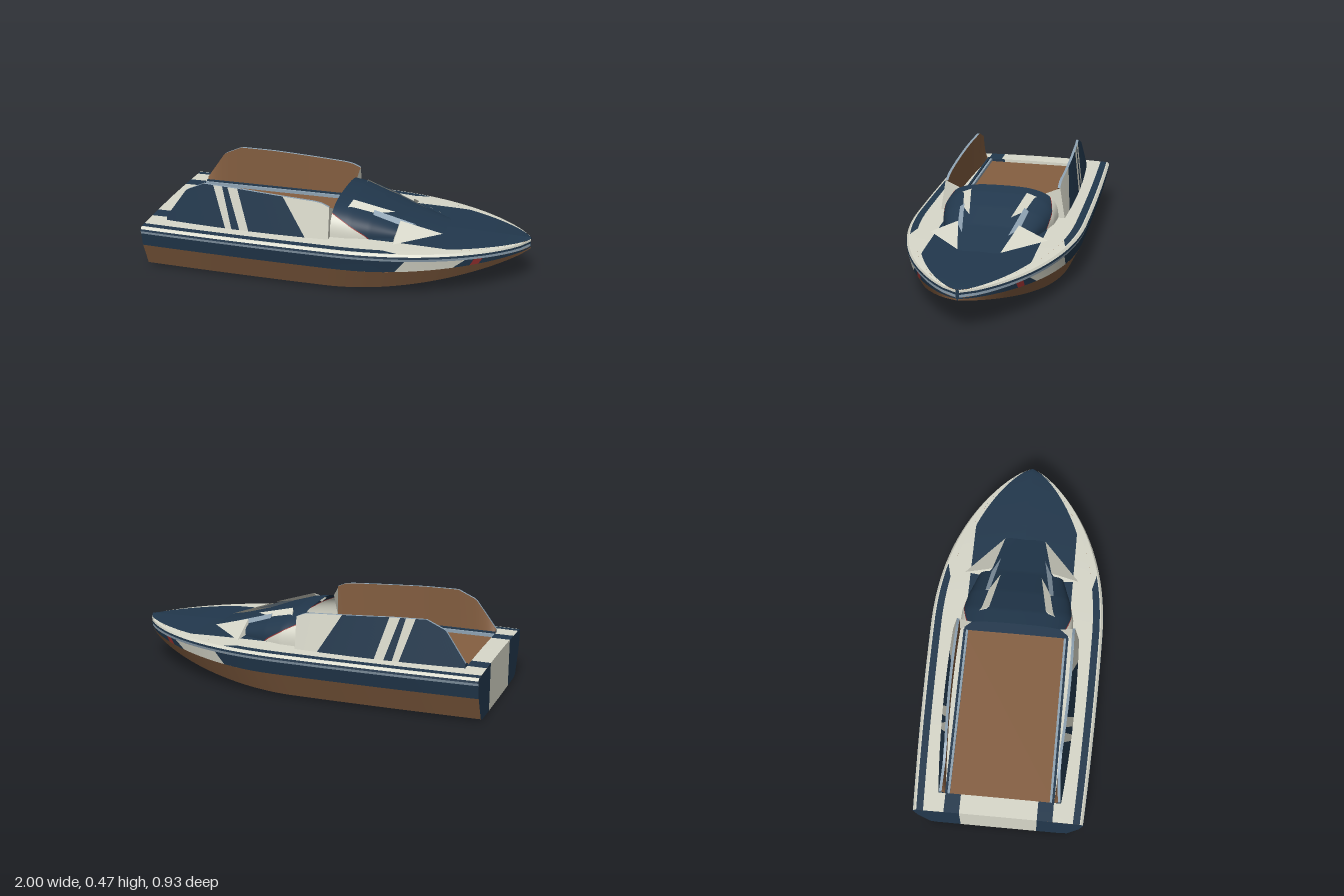
import * as THREE from 'three';

const mat = (name, color) => {
  const m = new THREE.MeshStandardMaterial({ color, side: THREE.DoubleSide });
  m.name = name;
  return m;
};
const lerp = THREE.MathUtils.lerp;
const clamp01 = (v) => Math.min(1, Math.max(0, v));

// Piecewise-linear profile through [x, y] points
const profile = (pts) => (x) => {
  let i = 0;
  while (i < pts.length - 2 && x > pts[i + 1][0]) i++;
  const [a, b] = [pts[i], pts[i + 1]];
  return lerp(a[1], b[1], clamp01((x - a[0]) / (b[0] - a[0])));
};

export function createModel() {
  const boat = new THREE.Group();
  boat.name = 'speedboat';
  const navy = mat('navy', 0x22384d);
  const cream = mat('cream', 0xd8d8ca);
  const brown = mat('brown', 0x855f41);
  const steel = mat('steelBlue', 0x8fa3b3);
  const red = mat('red', 0x98302f);

  const addMesh = (name, material, pos, index) => {
    const g = new THREE.BufferGeometry();
    g.setAttribute('position', new THREE.Float32BufferAttribute(pos, 3));
    g.setIndex(index);
    g.computeVertexNormals();
    const mesh = new THREE.Mesh(g, material);
    mesh.name = name;
    boat.add(mesh);
  };

  // Surface through rows, each x -> [z, y]; lo and hi are the [first row, last row] ends in x
  const loft = (name, material, rows, lo, hi, n = 48) => {
    for (const side of [1, -1]) {
      const pos = [], index = [];
      rows.forEach((row, r) => {
        const v = r / (rows.length - 1);
        const x0 = lerp(lo[0], lo[1], v), x1 = lerp(hi[0], hi[1], v);
        for (let i = 0; i <= n; i++) {
          const x = lerp(x0, x1, i / n);
          const [z, y] = row(x);
          pos.push(x, y, z * side);
          if (r && i) {
            const d = r * (n + 1) + i, c = d - 1, b = d - n - 1, a = b - 1;
            if (side > 0) index.push(a, b, d, a, d, c);
            else index.push(a, d, b, a, c, d);
          }
        }
      });
      addMesh(name + (side > 0 ? 'Front' : 'Back'), material, pos, index);
    }
  };

  // Flat convex plate, mirrored in z
  const plate = (name, material, pts) => {
    for (const side of [1, -1]) {
      const index = [];
      for (let i = 1; i < pts.length - 1; i++) index.push(0, i, i + 1);
      if (side < 0) index.reverse();
      addMesh(name + (side > 0 ? 'Front' : 'Back'), material,
        pts.flatMap(([x, y, z]) => [x, y, z * side]), index);
    }
  };

  // Hull lines
  const beam = (x) => x < 0 ? 0.465 - 0.025 * x * x
    : 0.465 * Math.pow(Math.max(0, 1 - Math.pow(x, 2.2)), 0.75) + 0.008 * x;
  const keel = (x) => 0.18 * Math.pow(Math.max(0, x), 1.7);
  const paintLine = (x) => 0.14 + 0.05 * Math.pow(clamp01((x - 0.2) / 0.8), 1.4);
  const sheer = (x) => 0.248 - 0.016 * Math.pow(clamp01(x), 2);
  const chineY = (x) => lerp(keel(x), paintLine(x), 0.1);
  const bottom = (x) => [0, keel(x)];
  const flat = (x) => [0.75 * beam(x), keel(x) + 0.002];
  const chine = (x) => [0.825 * beam(x), chineY(x)];
  const water = (x) => [0.955 * beam(x), paintLine(x)];
  const topside = (x) => [0.99 * beam(x), sheer(x) - 0.036];
  const rail1 = (x) => [beam(x), sheer(x) - 0.022];
  const rail2 = (x) => [0.995 * beam(x), sheer(x) - 0.011];
  const edge = (x) => [0.97 * beam(x), sheer(x)];
  const deckAt = (f) => (x) => {
    const z = f(x);
    return [z, sheer(x) + 0.01 * (1 - Math.pow(z / beam(x), 2))];
  };
  const stripeOut = deckAt((x) => 0.955 * beam(x));
  const stripeIn = deckAt((x) => 0.875 * beam(x));
  const inner = deckAt((x) => Math.min(0.28, 0.82 * beam(x)));
  const sternMid = deckAt(() => 0.2);
  const centre = deckAt(() => 0);

  // Hull bottom and painted topsides
  loft('hullBottom', brown, [bottom, flat], [-1, -1], [1, 1]);
  loft('hullChine', brown, [flat, chine], [-1, -1], [1, 1]);
  loft('hullSide', brown, [chine, water], [-1, -1], [1, 1]);
  const bands = [[-1, -1, navy], [0.37, 0.42, cream], [0.65, 0.71, navy],
    [0.73, 0.75, red], [0.77, 0.79, navy], [1, 1]];
  for (let i = 0; i < bands.length - 1; i++) {
    loft('topside' + i, bands[i][2], [water, topside], bands[i], bands[i + 1], 24);
  }
  loft('rubRail', steel, [topside, rail1], [-1, -1], [1, 1]);
  loft('railStripe', navy, [rail1, rail2], [-1, -1], [1, 1]);
  loft('gunwale', cream, [rail2, edge], [-1, -1], [1, 1]);

  // Deck
  loft('deckEdge', cream, [edge, stripeOut], [-1, -1], [1, 1]);
  loft('deckStripe', navy, [stripeOut, stripeIn], [-1, -1], [0.38, 0.3]);
  loft('deckStripeEnd', cream, [stripeOut, stripeIn], [0.38, 0.3], [1, 1]);
  loft('sideDeck', cream, [stripeIn, inner], [-1, -1], [1, 1]);
  loft('foredeck', navy, [inner, centre], [0, 0], [1, 1]);
  loft('sternDeckCorner', navy, [inner, sternMid], [-1, -1], [-0.9, -0.9], 2);
  loft('sternDeck', cream, [sternMid, centre], [-1, -1], [-0.9, -0.9], 2);

  // Transom and stem
  const outline = [flat, chine, water, topside, rail1, rail2, edge];
  plate('transomSide', navy, [[-1, 0.001, 0.2],
    ...outline.map((f) => [-1, f(-1)[1], f(-1)[0]]), [-1, sternMid(-1)[1], 0.2]]);
  plate('transomMiddle', cream, [[-1, 0, 0], [-1, 0.001, 0.2], [-1, sternMid(-1)[1], 0.2], [-1, centre(-1)[1], 0]]);
  plate('stem', navy, [[1, 0.18, 0], ...[water, topside, edge].map((f) => [1, f(1)[1], f(1)[0]]), [1, centre(1)[1], 0]]);

  // Cockpit floor and its edge strips
  const box = (name, m, sx, sy, sz, x, y, z) => {
    const b = new THREE.Mesh(new THREE.BoxGeometry(sx, sy, sz), m);
    b.name = name;
    b.position.set(x, y, z);
    boat.add(b);
  };
  box('cockpitFloor', brown, 0.9, 0.02, 0.56, -0.45, 0.23, 0);
  for (const s of [1, -1]) {
    box('floorStrip', steel, 0.9, 0.02, 0.012, -0.45, 0.247, s * 0.264);
    box('coamingStrip', navy, 0.9, 0.03, 0.012, -0.45, 0.25, s * 0.276);
  }

  // Cockpit side walls, bowed in plan and leaning inwards
  const wallTop = profile([[-0.9, 0.275], [-0.79, 0.43], [-0.69, 0.475], [-0.5, 0.47],
    [-0.08, 0.445], [-0.04, 0.438], [0, 0.42]]);
  const wall = (inset, atTop) => (x) => {
    const y = atTop ? wallTop(x) : 0.245;
    const bow = 0.03 * Math.pow((x + 0.3) / 0.6, 2);
    return [0.348 - bow - (y - 0.245) * 0.16 - inset, y];
  };
  const panels = [[-0.9, -0.9, navy], [-0.56, -0.635, cream], [-0.525, -0.585, navy],
    [-0.48, -0.555, cream], [-0.43, -0.5, navy], [-0.12, -0.25, cream], [0, 0]];
  for (let i = 0; i < panels.length - 1; i++) {
    loft('wallPanel' + i, panels[i][2], [wall(0, false), wall(0, true)], panels[i], panels[i + 1], 40);
  }
  loft('wallInside', brown, [wall(0.04, false), wall(0.014, true)], [-0.9, -0.9], [0, 0], 60);
  loft('wallCap', steel, [wall(0, true), wall(0.014, true)], [-0.9, -0.9], [0, 0], 60);
  const end = (x, inset, top) => {
    const [z, y] = wall(inset, top)(x);
    return [x, y, z];
  };
  plate('wallRearEnd', navy, [end(-0.9, 0, false), end(-0.9, 0, true), end(-0.9, 0.014, true), end(-0.9, 0.04, false)]);
  plate('wallFrontEnd', cream, [end(0, 0, false), end(0, 0, true), [0, 0.385, 0.235], [0, 0.25, 0.3]]);

  // Domed cowl ahead of the cockpit, with cream cheeks edged in red
  const cowlTop = profile([[0, 0.414], [0.08, 0.402], [0.2, 0.365], [0.34, 0.31], [0.45, 0.28], [0.56, 0.252]]);
  const cowlHalf = profile([[0, 0.305], [0.1, 0.3], [0.2, 0.275], [0.34, 0.225], [0.56, 0.12]]);
  const cowl = (v) => (x) => {
    const a = v * Math.PI / 2;
    return [cowlHalf(x) * Math.pow(Math.max(0, Math.cos(a)), 2 / 3),
      0.245 + (cowlTop(x) - 0.245) * Math.pow(Math.sin(a), 2 / 3)];
  };
  const cheek = (x) => 0.42 * clamp01(1 - x / 0.2);
  const trim = (x) => cheek(x) + 0.02 * clamp01((0.22 - x) / 0.04);
  const cowlRows = (from, to, n) => Array.from({ length: n + 1 }, (_, i) =>
    (x) => cowl(lerp(from(x), to(x), i / n))(x));
  loft('cheek', cream, cowlRows(() => 0, cheek, 10), [0, 0], [0.2, 0.2], 16);
  loft('cheekTrim', red, cowlRows(cheek, trim, 1), [0, 0], [0.22, 0.22], 22);
  loft('cowl', navy, cowlRows(trim, () => 1, 20), [0, 0], [0.56, 0.56], 56);

  // Three pointed deflector fins on each side of the cowl
  const fins = [
    [[0.335, 0.252, 0.31], [0.555, 0.255, 0.11], [0.34, 0.325, 0.16], [0.32, 0.26, 0.2]],
    [[0.2, 0.315, 0.23], [0.42, 0.295, 0.12], [0.2, 0.37, 0.16], [0.2, 0.3, 0.18]],
    [[0.05, 0.36, 0.255], [0.3, 0.35, 0.11], [0.085, 0.412, 0.15], [0.06, 0.35, 0.2]],
  ];
  fins.forEach(([a, b, c, d], i) => {
    plate('finFace' + i, i === 1 ? steel : cream, [a, b, c]);
    plate('finBack' + i, cream, [a, c, d]);
  });

  return boat;
}
